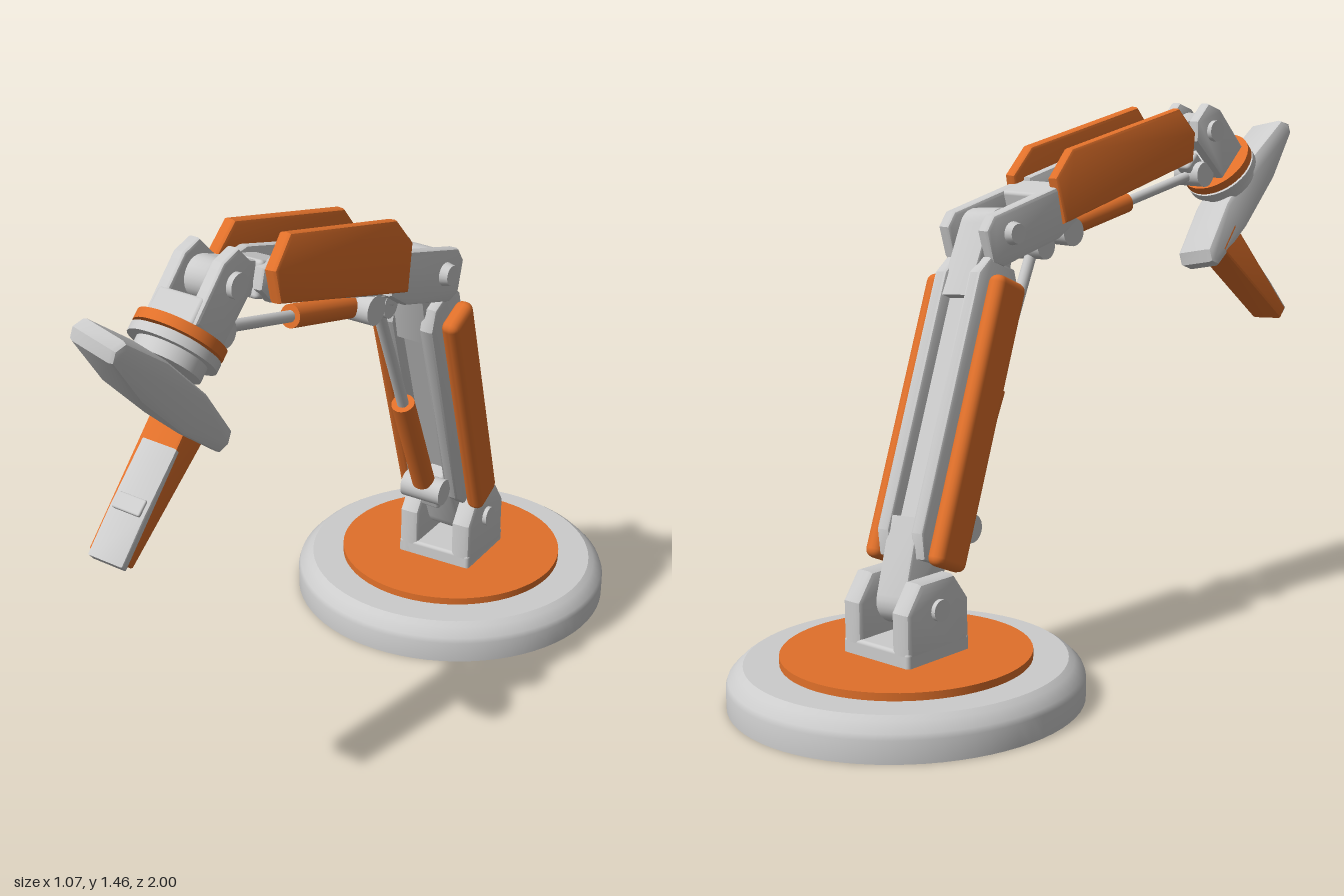
import * as THREE from 'three';
import { toCreasedNormals } from 'three/addons/utils/BufferGeometryUtils.js';
import { RoundedBoxGeometry } from 'three/addons/geometries/RoundedBoxGeometry.js';

const grey = new THREE.MeshStandardMaterial({ color: 0xcccccc });
const orange = new THREE.MeshStandardMaterial({ color: 0xe0702a });
const V = (x, y, z) => new THREE.Vector3(x, y, z);

function add(parent, name, geometry, material, x = 0, y = 0, z = 0) {
  const mesh = new THREE.Mesh(geometry, material);
  mesh.name = name;
  mesh.position.set(x, y, z);
  parent.add(mesh);
  return mesh;
}

// Group whose y axis follows dir and whose x axis follows side
function frame(parent, name, origin, dir, side) {
  const y = dir.clone().normalize();
  const x = side.clone().addScaledVector(y, -side.dot(y)).normalize();
  const group = new THREE.Group();
  group.name = name;
  group.matrix.makeBasis(x, y, x.clone().cross(y)).setPosition(origin);
  group.matrix.decompose(group.position, group.quaternion, group.scale);
  parent.add(group);
  return group;
}

// Bevelled plate from a (z, y) outline, centred across x
function slab(points, width, bevel = 0.008) {
  const shape = new THREE.Shape(points.map(p => new THREE.Vector2(p[0], p[1])));
  const geo = new THREE.ExtrudeGeometry(shape, {
    depth: width - 2 * bevel, bevelEnabled: true, bevelThickness: bevel,
    bevelSize: bevel, bevelOffset: -bevel, bevelSegments: 2,
  });
  geo.translate(0, 0, bevel - width / 2).rotateY(-Math.PI / 2);
  return toCreasedNormals(geo, 0.5);
}

// Outline with straight foot and rounded end of radius r around y = 0
function tongueOutline(r, foot, halfFoot) {
  const pts = [[halfFoot, foot], [-halfFoot, foot]];
  for (let i = 0; i <= 12; i++) {
    const a = Math.PI * i / 12, s = foot > 0 ? -1 : 1;
    pts.push([-r * Math.cos(a), s * r * Math.sin(a)]);
  }
  return pts;
}

const box = (w, h, d, r = 0.01) => new RoundedBoxGeometry(w, h, d, 2, r);
const pinGeo = (r, length) => new THREE.CylinderGeometry(r, r, length, 24).rotateZ(Math.PI / 2);

// Hydraulic ram: sleeve, rod and an eye with a pin at both ends
function ram(parent, name, a, b, side, r) {
  const d = b.clone().sub(a), len = d.length();
  const g = frame(parent, name, a, d, side);
  add(g, 'sleeve', new THREE.CylinderGeometry(r, r, len * 0.44, 20), orange, 0, len * 0.26, 0);
  add(g, 'rod', new THREE.CylinderGeometry(r * 0.5, r * 0.5, len * 0.9, 16), grey, 0, len * 0.53, 0);
  add(g, 'lowerPin', pinGeo(0.038, 0.12), grey);
  add(g, 'upperPin', pinGeo(0.036, 0.09), grey, 0, len, 0);
}

export function createModel() {
  const model = new THREE.Group();
  model.name = 'robotArm';

  // Key joints
  const shoulder = V(-0.08, 0.255, -0.55);
  const elbow = V(0.125, 1.15, -0.2);
  const wrist = V(0.35, 1.38, 0.6);
  const plateCentre = V(0.4, 1.185, 0.785);
  const lowerSide = V(0.94, 0, -0.34), upperSide = V(0.96, 0, -0.28);

  // Round base
  const profile = [[0, 0], [0.453, 0], [0.453, 0.058], [0.448, 0.072], [0.425, 0.095], [0.41, 0.105], [0, 0.105]];
  const baseGeo = new THREE.LatheGeometry(profile.map(p => new THREE.Vector2(...p)), 72);
  add(model, 'base', toCreasedNormals(baseGeo, 0.5), grey, -0.08, 0, -0.55);
  add(model, 'turntable', new THREE.CylinderGeometry(0.32, 0.32, 0.03, 64), orange, -0.08, 0.11, -0.55);

  // Shoulder bracket
  const bracket = frame(model, 'shoulderBracket', V(-0.08, 0.12, -0.55), V(0, 1, 0), lowerSide);
  add(bracket, 'bracketFloor', box(0.23, 0.05, 0.22), grey, 0, 0.02, 0);
  const cheek = [[0.11, 0], [0.11, 0.14], [0.06, 0.21], [-0.06, 0.21], [-0.11, 0.14], [-0.11, 0]];
  for (const s of [-1, 1]) {
    add(bracket, 'bracketCheek', slab(cheek, 0.06, 0.014), grey, s * 0.085, 0, 0);
    add(bracket, 'shoulderPin', pinGeo(0.028, 0.02), grey, s * 0.117, 0.132, 0);
  }

  // Lower arm: channelled beam with a tongue at each end
  const lower = frame(model, 'lowerArm', shoulder, elbow.clone().sub(shoulder), lowerSide);
  const L = elbow.distanceTo(shoulder);
  add(lower, 'lowerTongue', slab(tongueOutline(0.06, 0.2, 0.075).reverse(), 0.1), grey);
  add(lower, 'upperTongue', slab(tongueOutline(0.06, -0.2, 0.075), 0.1), grey, 0, L, 0);
  add(lower, 'beamWeb', box(0.1, L - 0.24, 0.09), grey, 0, L / 2, 0);
  const beamSide = [[0.05, 0.1], [0.085, 0.16], [0.085, L - 0.14], [0.05, L - 0.09],
    [-0.05, L - 0.09], [-0.08, L - 0.14], [-0.08, 0.16], [-0.05, 0.1]];
  for (const s of [-1, 1]) {
    add(lower, 'beamSide', slab(beamSide, 0.04), grey, s * 0.058, 0, 0);
    add(lower, 'lowerPanel', box(0.05, 0.76, 0.115, 0.022), orange, s * 0.107, 0.47, 0);
  }
  add(lower, 'ramMount', box(0.06, 0.09, 0.1), grey, 0.01, 0.19, 0.08);

  // Upper arm: elbow fork, channelled beam and wrist tongue (local -z is up)
  const upper = frame(model, 'upperArm', elbow, wrist.clone().sub(elbow), upperSide);
  const U = wrist.distanceTo(elbow);
  const forkSide = [[0.05, -0.085], [0.075, -0.05], [0.075, 0.16], [0.05, 0.24],
    [-0.06, 0.24], [-0.065, -0.05], [-0.035, -0.085]];
  const panel = [[0.04, 0.18], [0.045, 0.72], [-0.03, 0.755], [-0.115, 0.71],
    [-0.14, 0.27], [-0.085, 0.185]];
  const wall = [[0.055, 0.18], [0.05, 0.7], [0.02, 0.75], [-0.03, 0.75], [-0.06, 0.68], [-0.07, 0.22]];
  for (const s of [-1, 1]) {
    add(upper, 'elbowFork', slab(forkSide, 0.04, 0.01), grey, s * 0.074, 0, 0);
    add(upper, 'elbowPin', new THREE.CylinderGeometry(0.026, 0.032, 0.025, 20).rotateZ(-s * Math.PI / 2), grey, s * 0.103, 0, 0);
    add(upper, 'beamWall', slab(wall, 0.03), grey, s * 0.052, 0, 0);
    const p = add(upper, 'upperPanel', slab(panel, 0.036, 0.01), orange, s * 0.085, 0, 0);
    p.rotation.y = s * 0.06;
  }
  add(upper, 'forkBridge', box(0.14, 0.1, 0.12), grey, 0, 0.18, 0);
  add(upper, 'beamFloor', box(0.1, 0.54, 0.05), grey, 0, 0.46, 0.02);
  add(upper, 'beamEnd', box(0.1, 0.1, 0.09), grey, 0, 0.69, 0);
  add(upper, 'wristTongue', slab(tongueOutline(0.05, -0.16, 0.04), 0.065), grey, 0, U, 0);
  add(upper, 'ramLug', box(0.06, 0.16, 0.06), grey, 0, 0.19, 0.065);

  // Hydraulic rams
  ram(model, 'lowerRam', V(0, 0.405, -0.37), V(0.15, 1.1, -0.05), lowerSide, 0.032);
  ram(model, 'upperRam', V(0.2, 1.13, 0.055), V(0.345, 1.255, 0.595), upperSide, 0.029);

  // Wrist: fork, collar and rings
  const hand = frame(model, 'wrist', wrist, plateCentre.clone().sub(wrist), upperSide);
  const prong = [[0.03, -0.07], [0.07, -0.03], [0.065, 0.13], [-0.06, 0.13], [-0.065, -0.02], [-0.04, -0.07]];
  for (const s of [-1, 1]) {
    add(hand, 'wristProng', slab(prong, 0.036), grey, s * 0.054, 0, 0);
    add(hand, 'wristPin', pinGeo(0.03, 0.02), grey, s * 0.077, 0, 0);
  }
  add(hand, 'wristBlock', box(0.13, 0.07, 0.13), grey, 0, 0.1, 0);
  add(hand, 'ramEye', box(0.05, 0.06, 0.06), grey, 0, 0.06, 0.085);
  const disc = (r, h) => new THREE.CylinderGeometry(r, r, h, 40);
  add(hand, 'orangeRing', disc(0.108, 0.025), orange, 0, 0.145, 0);
  add(hand, 'collar', disc(0.085, 0.08), grey, 0, 0.18, 0);
  add(hand, 'greyRing', disc(0.108, 0.022), grey, 0, 0.175, 0);

  // Head plate
  const across = V(0.96, -0.19, -0.19);
  const head = frame(model, 'head', plateCentre, V(0, -0.707, 0.707), across);
  const plate = [[-0.265, -0.03], [-0.1, -0.055], [0.1, -0.055], [0.26, -0.03], [0.282, 0],
    [0.27, 0.03], [0.1, 0.05], [-0.1, 0.05], [-0.265, 0.025], [-0.282, 0]];
  add(head, 'headPlate', slab(plate, 0.135, 0.014), grey);

  // Finger: orange wedge with a grey grip pad on its inner face
  const finger = frame(model, 'finger', V(0.335, 1.07, 0.665), V(0.075, -0.25, 0.265), across);
  const wedge = [[-0.05, 0], [0.05, 0], [0.03, 0.37], [-0.01, 0.37]];
  const pad = [[-0.045, 0.1], [-0.03, 0.1], [0.002, 0.385], [-0.022, 0.385], [-0.035, 0.27]];
  add(finger, 'fingerShell', slab(wedge, 0.105, 0.008), orange);
  add(finger, 'gripPad', slab(pad, 0.095, 0.004), grey, 0.008, 0, 0);
  add(finger, 'gripRib', box(0.075, 0.04, 0.02, 0.004), grey, 0.008, 0.25, -0.033);

  return model;
}
